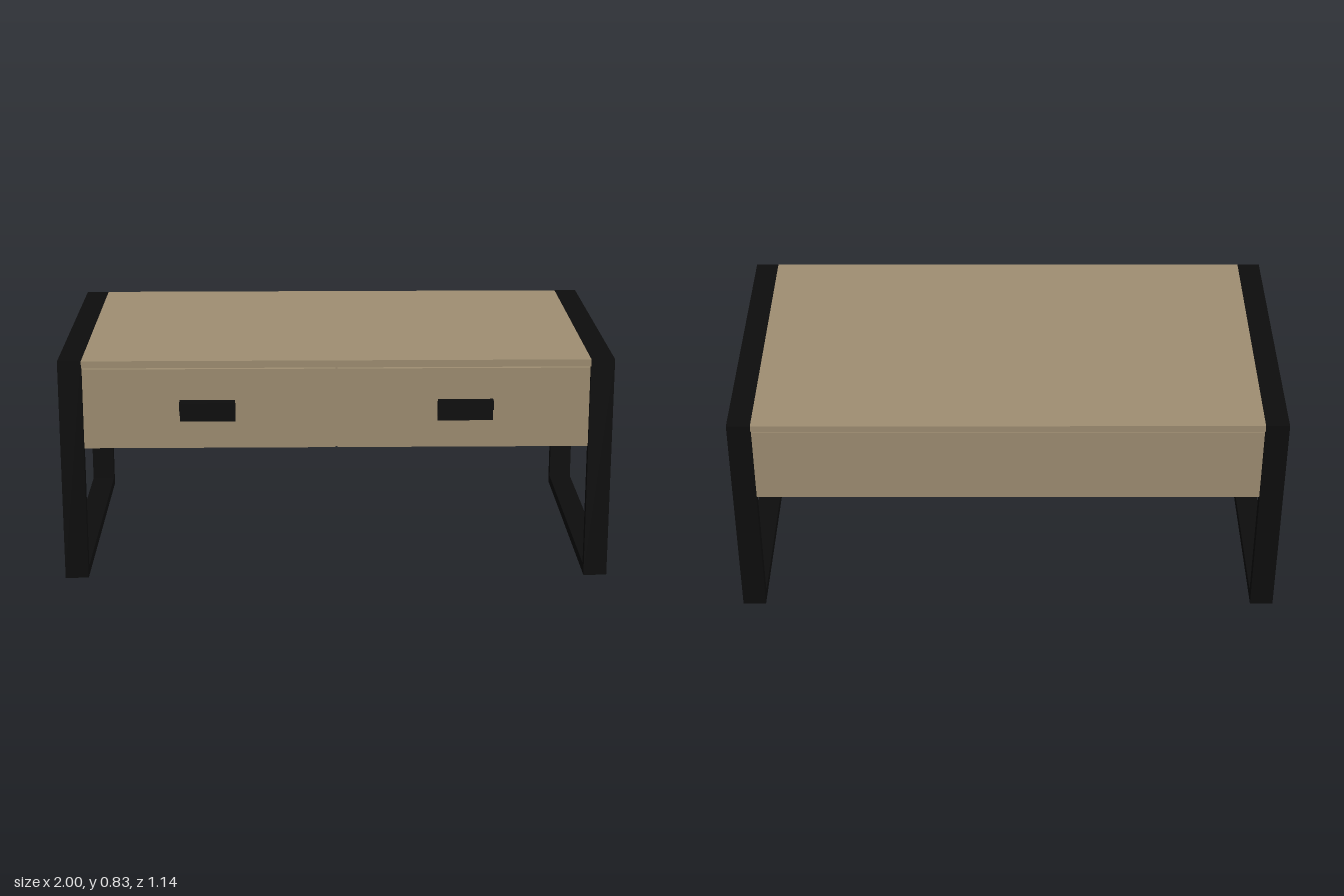
import * as THREE from 'three';

export function createModel() {
  const model = new THREE.Group();
  model.name = 'coffeeTable';

  const wood = new THREE.MeshStandardMaterial({ color: 0xa08f73 });
  wood.name = 'oak wood';
  const metal = new THREE.MeshStandardMaterial({ color: 0x0d0d0d });
  metal.name = 'black metal';

  // Box given by its lower and upper limits on each axis
  function box(name, material, [x0, x1], [y0, y1], [z0, z1], parent = model) {
    const mesh = new THREE.Mesh(new THREE.BoxGeometry(x1 - x0, y1 - y0, z1 - z0), material);
    mesh.position.set((x0 + x1) / 2, (y0 + y1) / 2, (z0 + z1) / 2);
    mesh.name = name;
    parent.add(mesh);
  }

  const inner = 0.915, back = -0.572, front = 0.533, height = 0.826;

  // Wooden body: top board, carcass and back board with a shadow gap under the top
  box('topBoard', wood, [-inner, inner], [0.8, height], [back, front]);
  box('carcass', wood, [-inner, inner], [0.5, 0.8], [-0.54, 0.515]);
  box('backBoard', wood, [-inner, inner], [0.5, 0.79], [-0.56, -0.54]);

  for (const side of [-1, 1]) {
    // Limits along x, mirrored for the negative side
    const span = (a, b) => (side > 0 ? [a, b] : [-b, -a]);

    // Closed rectangular end frame of flat bar
    const frame = new THREE.Group();
    frame.name = side > 0 ? 'leftFrame' : 'rightFrame';
    model.add(frame);
    const width = span(inner, 1);
    box('frontLeg', metal, width, [0, height], [0.5, front], frame);
    box('backLeg', metal, width, [0, height], [back, -0.532], frame);
    box('topBar', metal, width, [0.795, height], [-0.532, 0.5], frame);
    box('bottomBar', metal, width, [0, 0.036], [-0.532, 0.5], frame);
    box('supportStrip', metal, span(inner, 0.994), [0.499, 0.503], [-0.532, 0.5], frame);

    // Wooden end panel set into the frame
    box('endPanel', wood, span(inner, 0.996), [0.503, 0.795], [-0.532, 0.5]);

    // Drawer front, leaving a narrow seam in the middle
    box('drawerFront', wood, span(0.003, inner - 0.002), [0.5, 0.795], [0.515, 0.531]);

    // Handle: flat plate with a projecting lip
    const handle = new THREE.Group();
    handle.name = 'handle';
    model.add(handle);
    box('handlePlate', metal, span(0.365, 0.565), [0.603, 0.68], [0.531, 0.543], handle);
    box('handleLip', metal, span(0.365, 0.565), [0.65, 0.68], [0.543, 0.573], handle);
  }

  return model;
}
